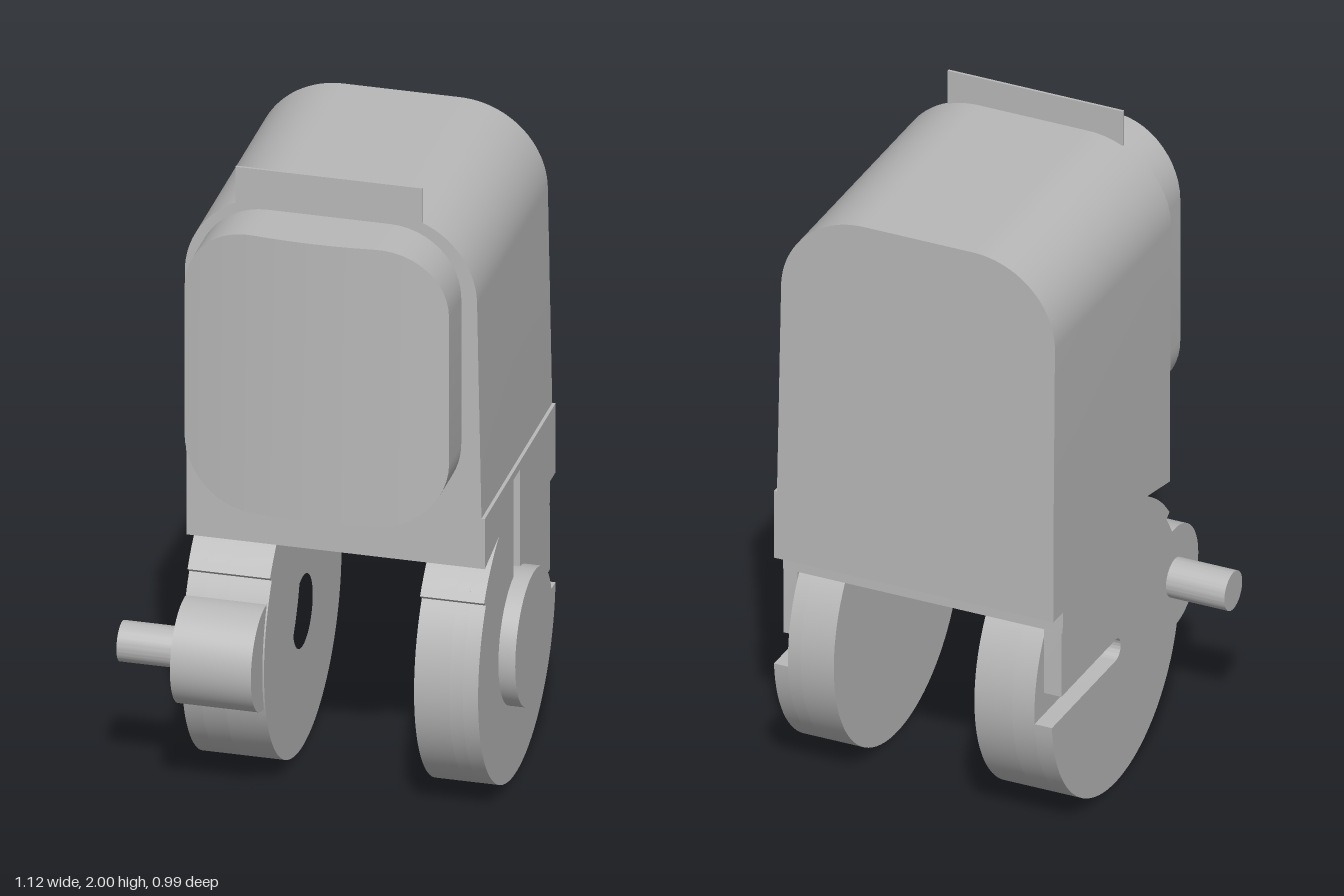
import * as THREE from 'three';
import { toCreasedNormals } from 'three/addons/utils/BufferGeometryUtils.js';

const RAD = Math.PI / 180;
const HUB_Z = -0.065, HUB_Y = 0.43;

export function createModel() {
  const group = new THREE.Group();
  const grey = new THREE.MeshStandardMaterial({ color: 0xb8b8b8 });

  const add = (name, geometry, parent = group) => {
    const mesh = new THREE.Mesh(toCreasedNormals(geometry, 0.5), grey);
    mesh.name = name;
    parent.add(mesh);
    return mesh;
  };

  // Side profiles use (-z, y) and are extruded along x
  const sidePlate = (name, points, x0, x1, holeRadius = 0, parent = group) => {
    const shape = new THREE.Shape(points);
    if (holeRadius) {
      shape.holes.push(new THREE.Path().absarc(-HUB_Z, HUB_Y, holeRadius, 0, Math.PI * 2, true));
    }
    const geo = new THREE.ExtrudeGeometry(shape, { depth: x1 - x0, bevelEnabled: false, curveSegments: 32 });
    geo.rotateY(Math.PI / 2).translate(x0, 0, 0);
    return add(name, geo, parent);
  };

  const cylinderX = (name, radius, x0, x1, y, z) => {
    const geo = new THREE.CylinderGeometry(radius, radius, x1 - x0, 64);
    geo.rotateZ(Math.PI / 2).translate((x0 + x1) / 2, y, z);
    return add(name, geo);
  };

  // Points along an arc around a centre, the hub by default; angle 0 points to the back
  const arc = (r, from, to, cx = -HUB_Z, cy = HUB_Y) => {
    const n = Math.max(2, Math.ceil(Math.abs(to - from) / 4));
    return Array.from({ length: n + 1 }, (_, i) => {
      const t = (from + ((to - from) * i) / n) * RAD;
      return new THREE.Vector2(cx + r * Math.cos(t), cy + r * Math.sin(t));
    });
  };
  const pts = (...list) => list.map(([a, b]) => new THREE.Vector2(a, b));

  // Upper housing: rounded front outline run from front to back
  const outline = new THREE.Shape([
    ...pts([-0.38, 0.97], [0.495, 0.97]),
    ...arc(0.26, 0, 90, 0.222, 1.65),
    ...arc(0.26, 90, 180, -0.125, 1.65),
  ]);
  const housing = new THREE.ExtrudeGeometry(outline, { depth: 0.785, bevelEnabled: false });
  add('housing', housing.translate(0, 0, -0.495));

  // Lower housing: arched underside, wedge cut in front, step at the back
  const skirt = (slot) => [
    ...pts([0.495, 0.97], [-0.29, 0.97], [-0.29, 0.81]),
    ...(slot
      ? [...arc(0.445, 108.6, 94.5), ...pts([0.03, 0.945], [0.1, 0.945]), ...arc(0.445, 85.5, 34.4)]
      : arc(0.445, 108.6, 34.4)),
    ...pts([0.43, 0.75], [0.495, 0.75]),
  ];
  sidePlate('lowerHousing', skirt(false), -0.38, 0.46);
  sidePlate('slottedHousingSide', skirt(true), 0.46, 0.505);

  // Front panel: rounded rectangle with a bowed face, built column by column
  const cx = 0.0425, hw = 0.3925, y0 = 0.99, y1 = 1.875, r = 0.21;
  const columns = [];
  for (let i = 0; i <= 12; i++) columns.push(-hw + r * (1 - Math.cos((i * Math.PI) / 24)));
  for (let i = 1; i < 10; i++) columns.push((-1 + i / 5) * (hw - r));
  for (let i = 0; i <= 12; i++) columns.push(hw - r + r * Math.sin((i * Math.PI) / 24));
  const rings = columns.map((x) => {
    const d = Math.max(0, Math.abs(x) - (hw - r));
    const inset = r - Math.sqrt(Math.max(0, r * r - d * d));
    const zf = 0.475 - 0.05 * (x / hw) ** 2;
    return [[y0 + inset, zf], [y1 - inset, zf], [y1 - inset, 0.28], [y0 + inset, 0.28]]
      .map(([y, z]) => [cx + x, y, z]);
  });
  const pos = [];
  const quad = (a, b, c, d) => pos.push(...a, ...b, ...c, ...a, ...c, ...d);
  for (let i = 0; i < rings.length - 1; i++) {
    for (let k = 0; k < 4; k++) {
      const n = (k + 1) % 4;
      quad(rings[i][k], rings[i + 1][k], rings[i + 1][n], rings[i][n]);
    }
  }
  const first = rings[0], last = rings[rings.length - 1];
  quad(first[0], first[1], first[2], first[3]);
  quad(last[0], last[3], last[2], last[1]);
  const panel = new THREE.BufferGeometry();
  panel.setAttribute('position', new THREE.Float32BufferAttribute(pos, 3));
  add('frontPanel', panel);

  // Thin upright tab on the top front edge
  add('topTab', new THREE.BoxGeometry(0.555, 0.14, 0.008).translate(0.0425, 1.93, 0.286));

  // Round legs in three layers: bored inside, solid core, slotted outside
  const legProfile = (backSlot, topSlot) => [
    ...arc(0.43, -4, -217),
    ...(topSlot
      ? [...arc(0.455, 143, 94.4), ...pts([0.03, 0.6], [0.1, 0.6]), ...arc(0.455, 85.6, 37)]
      : arc(0.455, 143, 37)),
    ...(backSlot
      ? [...pts([0.43, 0.67], [0.43, 0.47]), ...arc(0.035, 90, 270, -HUB_Z, 0.435)]
      : arc(0.43, 37, 0)),
  ];
  const legs = [
    { name: 'rightLeg', inner: [-0.25, -0.13], core: [-0.32, -0.25], outer: [-0.375, -0.32], top: false },
    { name: 'leftLeg', inner: [0.315, 0.42], core: [0.42, 0.46], outer: [0.46, 0.505], top: true },
  ];
  for (const leg of legs) {
    const part = new THREE.Group();
    part.name = leg.name;
    group.add(part);
    sidePlate('boredLayer', legProfile(false, false), ...leg.inner, 0.11, part);
    sidePlate('coreLayer', legProfile(false, false), ...leg.core, 0, part);
    sidePlate('slottedLayer', legProfile(true, leg.top), ...leg.outer, 0, part);
  }

  // Hub cap on the left, knuckle and pin on the right
  cylinderX('hubCap', 0.205, 0.45, 0.555, 0.435, HUB_Z);
  cylinderX('knuckle', 0.16, -0.375, -0.135, 0.47, 0.333);
  cylinderX('pin', 0.06, -0.56, -0.37, 0.47, 0.335);

  return group;
}
